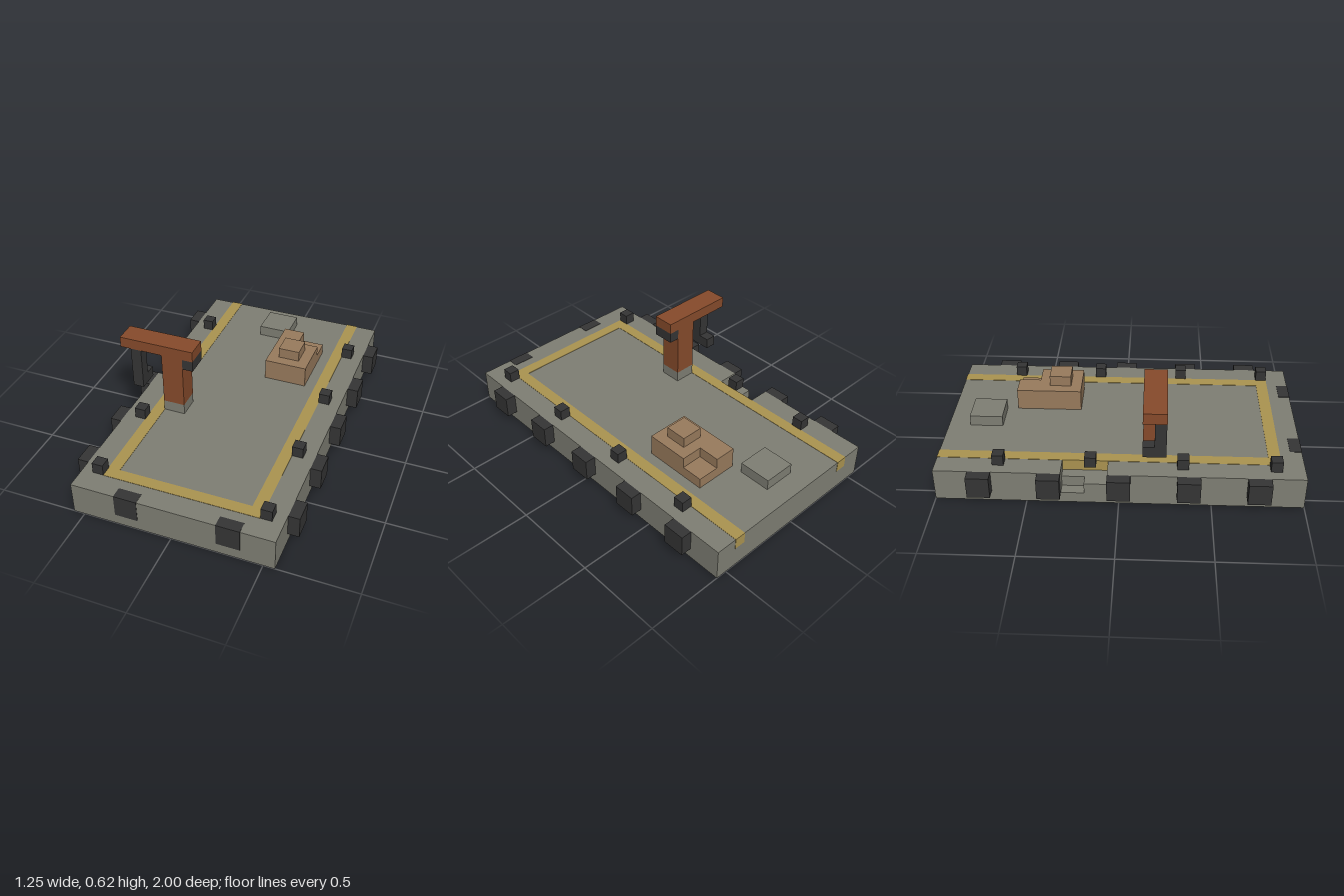
import * as THREE from 'three';

const mat = (name, color) => {
  const m = new THREE.MeshStandardMaterial({ color });
  m.name = name;
  return m;
};

export function createModel() {
  const root = new THREE.Group();
  root.name = 'dock';
  const stone = mat('stone', 0x7f7f74);
  const yellow = mat('yellowPaint', 0xab9450);
  const rust = mat('rustyOrange', 0x874b2b);
  const wood = mat('crateWood', 0x997b5d);
  const rubber = mat('darkRubber', 0x353535);

  const U = 0.0625; // block size; bounds below are counted in blocks
  // Box from block bounds, optionally grown a little to sit on a surface as paint
  const block = (parent, name, material, [x0, x1], [y0, y1], [z0, z1], grow = 0) => {
    const size = [x1 - x0, y1 - y0, z1 - z0].map(s => s * U + 2 * grow);
    const mesh = new THREE.Mesh(new THREE.BoxGeometry(...size), material);
    mesh.position.set((x0 + x1) / 2 * U, (y0 + y1) / 2 * U, (z0 + z1) / 2 * U);
    mesh.name = name;
    parent.add(mesh);
    return mesh;
  };
  const group = name => {
    const g = new THREE.Group();
    g.name = name;
    root.add(g);
    return g;
  };
  const PAINT = 0.002;

  // Quay slab, with a stepped landing cut into the right edge
  const quay = group('quay');
  block(quay, 'deck', stone, [-7, 9], [0, 3], [-16, 16]);
  block(quay, 'deckEdgeBack', stone, [-9, -7], [0, 3], [-16, -5]);
  block(quay, 'deckEdgeFront', stone, [-9, -7], [0, 3], [-1, 16]);
  block(quay, 'innerStep', stone, [-8, -7], [0, 2], [-5, -1]);
  block(quay, 'outerStep', stone, [-9, -8], [0, 2], [-3, -1]);
  block(quay, 'lowerStep', stone, [-9, -8], [0, 1], [-5, -3]);

  // Painted safety line around the deck
  const lines = group('safetyLine');
  block(lines, 'rightLine', yellow, [-7, -6], [2, 3], [-16, 14], PAINT);
  block(lines, 'leftLine', yellow, [6, 7], [2, 3], [-16, 14], PAINT);
  block(lines, 'frontLine', yellow, [-6, 6], [2, 3], [13, 14], PAINT);

  // Fenders and bollards along both sides
  const fenders = group('fenders');
  const bollards = group('bollards');
  for (const s of [-1, 1]) {
    const span = (a, b) => (s > 0 ? [a, b] : [-b, -a]);
    for (const z of [-13, -7, -1, 5, 11])
      block(fenders, 'sideFender', rubber, span(9, 10), [1, 3], [z, z + 2]);
    for (const z of [-11, -3, 5, 13])
      block(bollards, 'bollard', rubber, span(7, 8), [3, 4], [z, z + 1]);
  }
  // Front fenders set flush in the wall
  for (const x of [-5, 4])
    block(fenders, 'frontFender', rubber, [x, x + 2], [1, 3], [15, 16], PAINT);

  // Crane
  const crane = group('crane');
  block(crane, 'craneBase', stone, [-6, -4], [3, 4], [2, 4]);
  block(crane, 'craneColumn', rust, [-6, -4], [4, 9], [2, 4]);
  block(crane, 'craneArm', rust, [-10, -3], [9, 10], [2, 4]);
  block(crane, 'counterweight', rubber, [-4, -3], [8, 9], [2, 4]);
  block(crane, 'cable', rubber, [-9, -8], [5, 9], [3, 4]);
  block(crane, 'hook', rubber, [-9, -8], [5, 6], [2, 3]);

  // Cargo
  const cargo = group('cargo');
  block(cargo, 'lowerCrates', wood, [1, 5], [3, 4], [-10, -4]);
  block(cargo, 'upperCratesFront', wood, [1, 5], [4, 5], [-8, -4]);
  block(cargo, 'upperCratesBack', wood, [1, 3], [4, 5], [-10, -8]);
  block(cargo, 'topCrate', wood, [2, 4], [5, 6], [-7, -5]);
  block(cargo, 'stoneBlock', stone, [-2, 1], [3, 4], [-14, -11]);

  return root;
}
